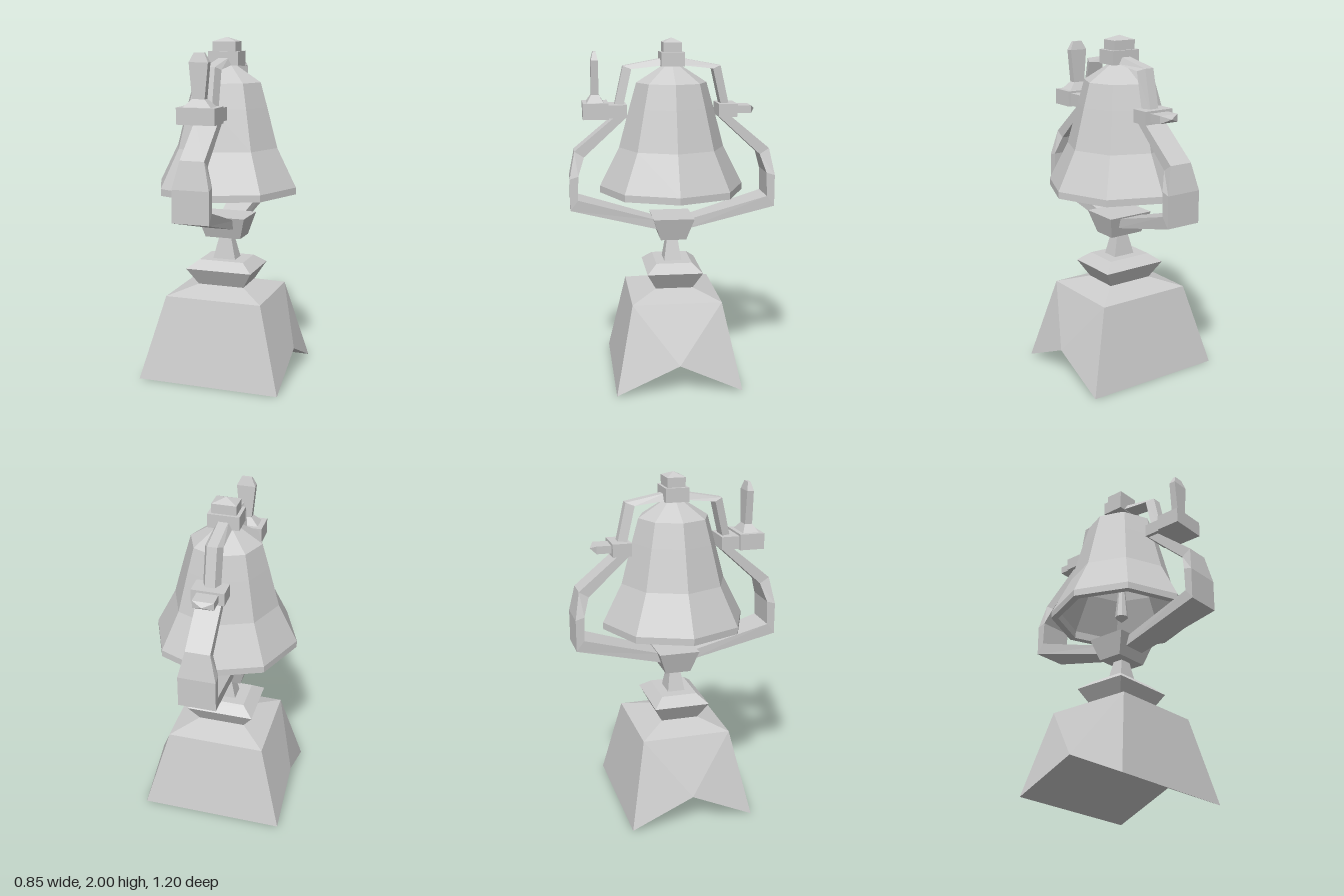
import * as THREE from 'three';

const material = new THREE.MeshStandardMaterial({ color: 0xcccccc, flatShading: true });
const openMaterial = material.clone();
openMaterial.side = THREE.DoubleSide;

// Closed solid through a list of four-cornered sections, faces turned outward.
function loft(sections) {
  const tris = [];
  const quad = (a, b, c, d) => tris.push([a, b, c], [a, c, d]);
  const last = sections[sections.length - 1];
  for (let s = 0; s < sections.length - 1; s++) {
    for (let i = 0; i < 4; i++) {
      const j = (i + 1) % 4;
      quad(sections[s][i], sections[s][j], sections[s + 1][j], sections[s + 1][i]);
    }
  }
  quad(...[...sections[0]].reverse());
  quad(...last);
  return solid(tris);
}

// Triangles to geometry; a negative volume means the winding must be flipped.
function solid(tris) {
  const v = (p) => new THREE.Vector3(...p);
  const volume = tris.reduce((sum, [a, b, c]) => sum + v(a).dot(v(b).cross(v(c))), 0);
  const ordered = volume < 0 ? tris.map(([a, b, c]) => [a, c, b]) : tris;
  const geometry = new THREE.BufferGeometry();
  geometry.setAttribute('position', new THREE.Float32BufferAttribute(ordered.flat(2), 3));
  geometry.computeVertexNormals();
  return geometry;
}

// Stack of rectangles given as [y, half width, half depth].
const stack = (rows, z = 0) => loft(rows.map(([y, w, d]) =>
  [[-w, y, z + d], [w, y, z + d], [w, y, z - d], [-w, y, z - d]]));

// Bar given as [outer z, outer y, inner z, inner y, outer half width, inner half width].
const bar = (rows) => loft(rows.map(([oz, oy, iz, iy, wo, wi]) =>
  [[-wo, oy, oz], [wo, oy, oz], [wi, iy, iz], [-wi, iy, iz]]));

const lathe = (points) =>
  new THREE.LatheGeometry(points.map(([r, y]) => new THREE.Vector2(r, y)), 8);

// Plinth with a V-shaped notch running underneath from side to side.
function plinthGeometry() {
  const tris = [];
  const quad = (a, b, c, d) => tris.push([a, b, c], [a, c, d]);
  const top = (x, z) => [x * 0.29, 0.495, z * 0.26];
  const foot = (x, z) => [x * 0.425, 0, z * 0.363];
  const notch = (x) => [x * 0.425, 0.165, 0];
  quad(top(-1, 1), top(1, 1), top(1, -1), top(-1, -1));
  quad(foot(-1, 1), foot(1, 1), top(1, 1), top(-1, 1));
  quad(foot(1, -1), foot(-1, -1), top(-1, -1), top(1, -1));
  quad(foot(1, 1), foot(-1, 1), notch(-1), notch(1));
  quad(foot(-1, -1), foot(1, -1), notch(1), notch(-1));
  tris.push([foot(1, 1), notch(1), top(1, 1)], [notch(1), top(1, -1), top(1, 1)],
    [notch(1), foot(1, -1), top(1, -1)]);
  tris.push([foot(-1, 1), top(-1, 1), notch(-1)], [notch(-1), top(-1, 1), top(-1, -1)],
    [notch(-1), top(-1, -1), foot(-1, -1)]);
  return solid(tris);
}

export function createModel() {
  const model = new THREE.Group();
  model.name = 'bellOnStand';
  const add = (name, geometry, parent = model, mat = material) => {
    const mesh = new THREE.Mesh(geometry, mat);
    mesh.name = name;
    parent.add(mesh);
    return mesh;
  };

  // Stand
  add('plinth', plinthGeometry());
  add('collar', stack([[0.495, 0.29, 0.26], [0.545, 0.14, 0.11], [0.645, 0.2, 0.163], [0.695, 0.135, 0.105]]));
  add('stem', stack([[0.69, 0.07, 0.052], [0.835, 0.035, 0.03]]));
  add('hub', stack([[0.83, 0.108, 0.075], [0.96, 0.145, 0.12]]));

  // Bell shell, outside then inside, and its clapper
  add('bell', lathe([
    [0, 1.7], [0.17, 1.7], [0.21, 1.59], [0.27, 1.37], [0.375, 1.15], [0.38, 1.105],
    [0.422, 1.105], [0.422, 1.145], [0.308, 1.37], [0.245, 1.605], [0.205, 1.745], [0.05, 1.845], [0, 1.845],
  ]), model, openMaterial);
  add('clapper', lathe([[0, 1.09], [0.04, 1.125], [0.022, 1.3], [0.018, 1.72]]), model, openMaterial);

  // Crown cap
  add('crownBlock', stack([[1.84, 0.09, 0.068], [1.92, 0.09, 0.068]]));
  add('crownFinial', stack([[1.92, 0.07, 0.053], [1.975, 0.07, 0.053], [2, 0, 0]]));

  // Cradle arm, hanger and pivot on the front and back
  for (const side of ['front', 'back']) {
    const half = new THREE.Group();
    half.name = side + 'Yoke';
    half.rotation.y = side === 'front' ? 0 : Math.PI;
    add('hanger', bar([
      [0.05, 1.885, 0.05, 1.845, 0.028, 0.05],
      [0.283, 1.842, 0.236, 1.825, 0.028, 0.05],
      [0.335, 1.61, 0.285, 1.61, 0.028, 0.05],
    ]), half);
    add('pivotBlock', stack([[1.55, 0.093, 0.055], [1.625, 0.093, 0.055]], 0.32), half);
    add('cradleArm', bar([
      [0.335, 1.555, 0.265, 1.555, 0.07, 0.07],
      [0.57, 1.36, 0.515, 1.325, 0.07, 0.07],
      [0.6, 1.205, 0.55, 1.22, 0.107, 0.107],
      [0.6, 1.02, 0.555, 1.08, 0.107, 0.107],
      [0.08, 0.885, 0.08, 0.94, 0.07, 0.07],
    ]), half);
    model.add(half);
  }

  // Upright handle on the front pivot
  add('handleBlock', stack([[1.545, 0.11, 0.073], [1.637, 0.11, 0.073]], 0.444));
  add('handle', stack([
    [1.637, 0.08, 0.048], [1.68, 0.036, 0.022], [1.875, 0.055, 0.02], [1.925, 0.03, 0.008],
  ], 0.445));

  // Pointed peg on the back pivot
  add('peg', loft([[-0.36, 0.06, 0.022], [-0.46, 0.06, 0.022], [-0.487, 0, 0]].map(([z, w, h]) =>
    [[-w, 1.59 - h, z], [w, 1.59 - h, z], [w, 1.59 + h, z], [-w, 1.59 + h, z]])));

  return model;
}
